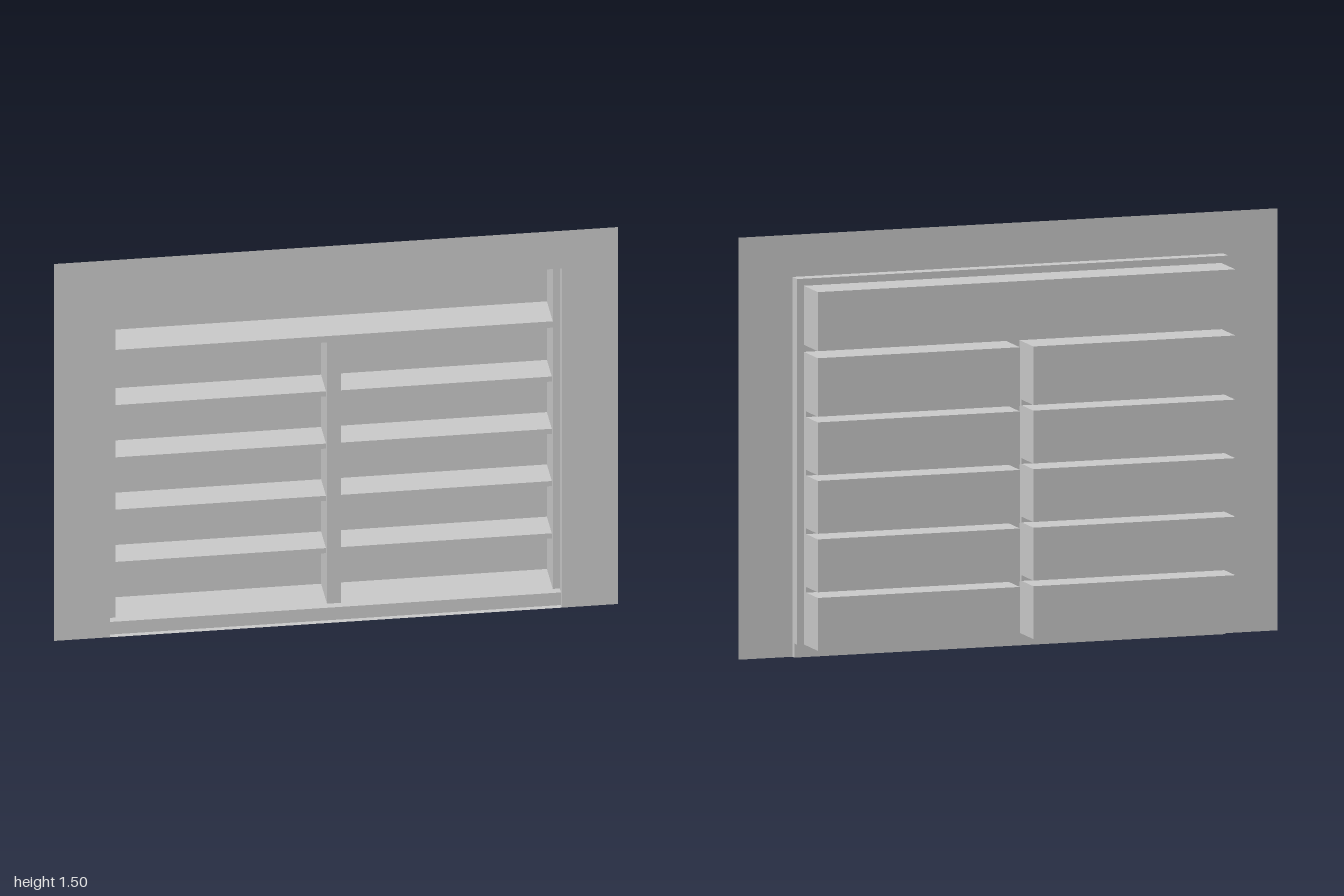
import * as THREE from 'three';

const material = new THREE.MeshStandardMaterial({ color: 0xcccccc, side: THREE.DoubleSide, flatShading: true });

// Depths, front to back
const WALL_Z = 0.1, KICK_Z = 0.08, FRAME_Z = 0.05, SHELF_Z = 0.025, BACK_Z = -0.1;
const FLOOR_Y = 0.05, COLUMN_TOP = 1.09, SHELF = 0.02, ROWS = 5;

const corners = ([x0, x1, y0, y1]) => [[x0, y0], [x1, y0], [x1, y1], [x0, y1]].map(([x, y]) => new THREE.Vector2(x, y));

function addMesh(group, name, geometry) {
  const mesh = new THREE.Mesh(geometry, material);
  mesh.name = name;
  group.add(mesh);
  return mesh;
}

// Flat sheet facing the front, with rectangular openings; rect = [x0, x1, y0, y1]
function sheet(group, name, rect, z, openings = []) {
  const shape = new THREE.Shape(corners(rect));
  for (const o of openings) shape.holes.push(new THREE.Path(corners(o).reverse()));
  addMesh(group, name, new THREE.ShapeGeometry(shape)).position.z = z;
}

// Thin walls between two depths, facing inward, following the rectangle's edges
function sleeve(group, name, rect, zFront, zBack, edges = [0, 1, 2, 3]) {
  const c = corners(rect), pos = [];
  for (const i of edges) {
    const a = c[i], b = c[(i + 1) % 4];
    pos.push(a.x, a.y, zFront, b.x, b.y, zFront, b.x, b.y, zBack);
    pos.push(a.x, a.y, zFront, b.x, b.y, zBack, a.x, a.y, zBack);
  }
  const g = new THREE.BufferGeometry();
  g.setAttribute('position', new THREE.Float32BufferAttribute(pos, 3));
  g.computeVertexNormals();
  addMesh(group, name, g);
}

function cubby(group, name, rect, zFront) {
  sleeve(group, name + 'Sides', rect, zFront, BACK_Z);
  sheet(group, name + 'Back', rect, BACK_Z);
}

export function createModel() {
  const model = new THREE.Group();
  model.name = 'builtInShelving';

  // Wall around the opening, which runs down to the ground
  const wall = new THREE.Shape([
    [-1, 0], [-0.8, 0], [-0.8, 1.35], [0.8, 1.35], [0.8, 0], [1, 0], [1, 1.5], [-1, 1.5],
  ].map(([x, y]) => new THREE.Vector2(x, y)));
  addMesh(model, 'wall', new THREE.ShapeGeometry(wall)).position.z = WALL_Z;

  // Shallow recess: sides and top, then the raised base step at the bottom
  sleeve(model, 'recessSides', [-0.8, 0.8, FLOOR_Y, 1.35], WALL_Z, FRAME_Z, [1, 2, 3]);
  sheet(model, 'baseFront', [-0.8, 0.8, 0, FLOOR_Y], KICK_Z);
  sleeve(model, 'baseRecess', [-0.8, 0.8, 0, FLOOR_Y], WALL_Z, KICK_Z, [0, 1, 3]);
  sleeve(model, 'baseTop', [-0.8, 0.8, FLOOR_Y, 1.35], KICK_Z, FRAME_Z, [0]);

  // Face frame: borders, rail under the top compartment and central divider
  const topRect = [-0.775, 0.775, 1.115, 1.325];
  const columns = [[-0.775, -0.025], [0.025, 0.775]];
  const frame = new THREE.Group();
  frame.name = 'faceFrame';
  sheet(frame, 'topBorder', [-0.8, 0.8, COLUMN_TOP, 1.35], FRAME_Z, [topRect]);
  for (const [name, x0, x1] of [['rightBorder', -0.8, -0.775], ['divider', -0.025, 0.025], ['leftBorder', 0.775, 0.8]])
    sheet(frame, name, [x0, x1, FLOOR_Y, COLUMN_TOP], FRAME_Z);
  model.add(frame);

  cubby(model, 'topCompartment', topRect, FRAME_Z);

  // Two columns of five compartments, with shelf fronts set back from the frame
  const pitch = (COLUMN_TOP - FLOOR_Y) / ROWS;
  columns.forEach(([x0, x1], i) => {
    const column = new THREE.Group();
    column.name = i ? 'leftColumn' : 'rightColumn';
    sleeve(column, 'columnRim', [x0, x1, FLOOR_Y, COLUMN_TOP], FRAME_Z, SHELF_Z);
    for (let r = 0; r < ROWS; r++) {
      const y0 = FLOOR_Y + r * pitch, last = r === ROWS - 1;
      const y1 = y0 + pitch - (last ? 0 : SHELF);
      cubby(column, 'compartment', [x0, x1, y0, y1], SHELF_Z);
      if (!last) sheet(column, 'shelfFront', [x0, x1, y1, y0 + pitch], SHELF_Z);
    }
    model.add(column);
  });

  return model;
}
